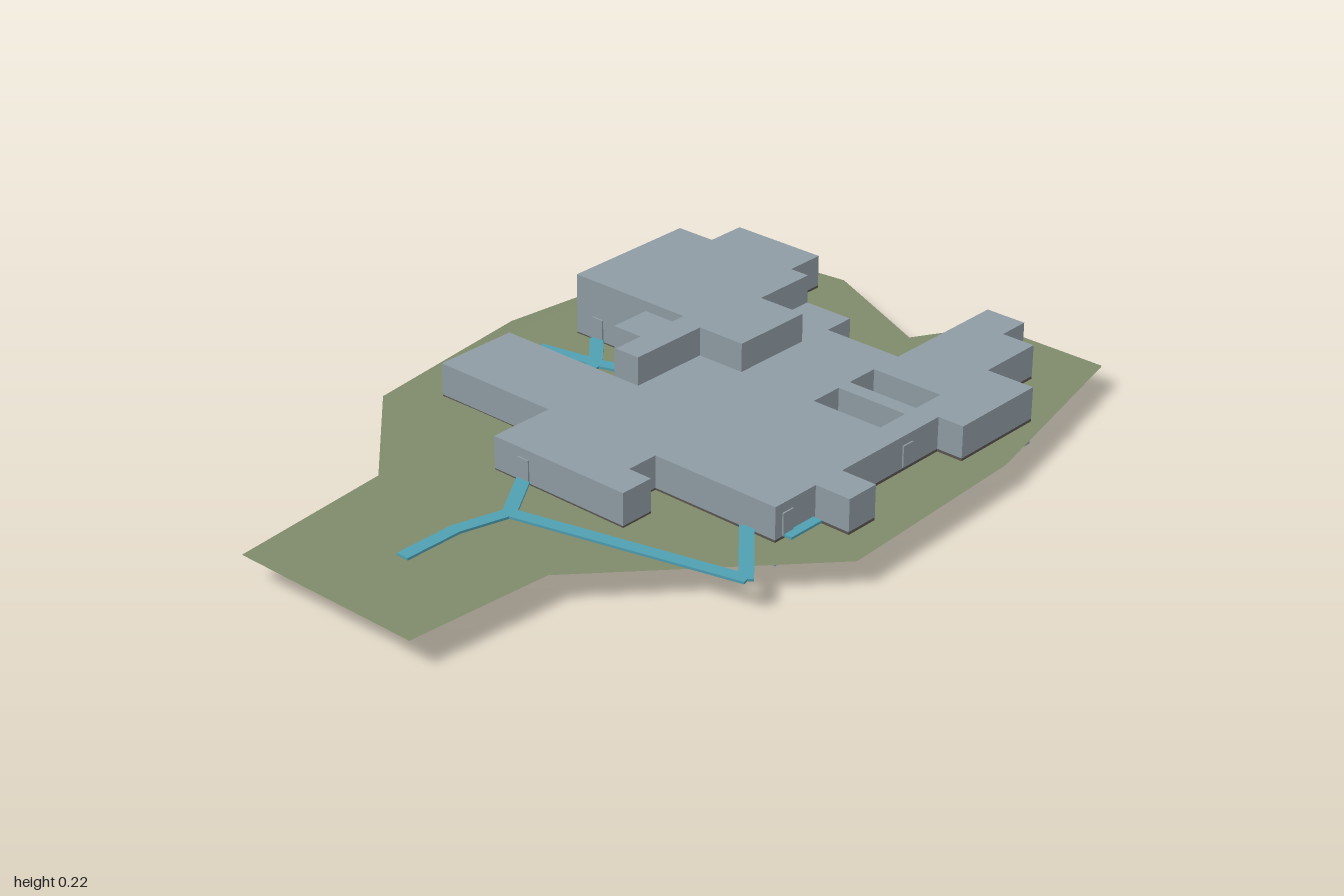
import * as THREE from 'three';

export function createModel() {
  const model = new THREE.Group();
  const mat = (name, color, side = THREE.FrontSide) => {
    const m = new THREE.MeshStandardMaterial({ color, side });
    m.name = name;
    return m;
  };
  const wall = mat('greyWall', 0x8f9ba3);
  const plinth = mat('darkPlinth', 0x59544e);
  const grass = mat('grass', 0x7f8a6a, THREE.DoubleSide);
  const path = mat('bluePath', 0x4fa0b2);

  const toShape = (pts) => new THREE.Shape(pts.map(([x, z]) => new THREE.Vector2(x, z)));
  const rect = (x0, x1, z0, z1) => [[x0, z0], [x1, z0], [x1, z1], [x0, z1]];
  const add = (name, geo, material) => {
    const mesh = new THREE.Mesh(geo, material);
    mesh.name = name;
    model.add(mesh);
    return mesh;
  };
  // Prism standing on a plan outline given as [x, z] points
  const prism = (name, pts, y0, y1, material, holes = []) => {
    const shape = toShape(pts);
    holes.forEach((h) => shape.holes.push(toShape(h)));
    const geo = new THREE.ExtrudeGeometry(shape, { depth: y1 - y0, bevelEnabled: false });
    geo.rotateX(Math.PI / 2).translate(0, y1, 0);
    return add(name, geo, material);
  };

  // Thin ground sheet, rising slightly to the front and left
  const groundPts = [
    [-0.62, -0.915], [-0.245, -0.96], [0.085, -0.81], [0.195, -1], [0.525, -1],
    [0.655, -0.44], [0.68, 0.125], [0.24, 0.62], [0.215, 1], [-0.305, 1],
    [-0.35, 0.56], [-0.635, 0.28], [-0.685, -0.2],
  ];
  const ground = new THREE.ShapeGeometry(toShape(groundPts)).rotateX(-Math.PI / 2).scale(1, 1, -1);
  // the mirrored sheet needs its corners reversed to face upwards
  const order = ground.index.array;
  for (let i = 0; i < order.length; i += 3) [order[i], order[i + 2]] = [order[i + 2], order[i]];
  const gp = ground.attributes.position;
  for (let i = 0; i < gp.count; i++) {
    const x = gp.getX(i), z = gp.getZ(i);
    gp.setY(i, z > 0.5 ? 0.064 : x < -0.66 ? 0.07 : x < -0.6 ? 0.06 : 0.058);
  }
  ground.computeVertexNormals();
  add('ground', ground, grass);

  // Main storey with two courtyards, on a dark plinth
  const mainPlan = [
    [-0.53, -0.65], [0.025, -0.65], [0.025, -0.565], [0.24, -0.565], [0.24, -0.915],
    [0.35, -0.915], [0.35, -0.83], [0.44, -0.83], [0.44, -0.65], [0.57, -0.65],
    [0.57, -0.385], [0.5, -0.385], [0.5, -0.04], [0.595, -0.04], [0.595, 0.05],
    [0.5, 0.05], [0.5, 0.185], [0.15, 0.185], [0.15, 0.27], [0.215, 0.27],
    [0.215, 0.36], [-0.18, 0.36], [-0.18, 0.185], [-0.53, 0.185], [-0.53, -0.04],
    [-0.18, -0.04], [-0.18, -0.125], [-0.265, -0.125], [-0.265, -0.235],
    [-0.18, -0.235], [-0.18, -0.275], [-0.53, -0.275],
  ];
  const courts = [rect(0.24, 0.435, -0.475, -0.385), rect(0.24, 0.435, -0.345, -0.255)];
  prism('mainStorey', mainPlan, 0.065, 0.147, wall, courts);
  prism('mainPlinth', mainPlan, 0.052, 0.065, [wall, plinth], courts);
  prism('courtyardFloor', courts[1], 0.06, 0.066, wall);

  // Separate annex at the back
  const annexPlan = rect(-0.53, -0.265, -0.88, -0.695);
  prism('annex', annexPlan, 0.065, 0.147, wall);
  prism('annexPlinth', annexPlan, 0.052, 0.065, [wall, plinth]);

  // Upper storey
  prism('upperStorey', [
    [-0.53, -0.65], [-0.11, -0.65], [-0.11, -0.475], [0.02, -0.475], [0.02, -0.255],
    [-0.11, -0.255], [-0.11, -0.04], [-0.18, -0.04], [-0.18, -0.125], [-0.265, -0.125],
    [-0.265, -0.235], [-0.18, -0.235], [-0.18, -0.275], [-0.53, -0.275],
  ], 0.147, 0.22, wall);

  // Basement
  prism('basement', [
    [0.02, -0.565], [0.24, -0.565], [0.24, -0.65], [0.57, -0.65], [0.57, -0.385],
    [0.5, -0.385], [0.5, 0.185], [0.02, 0.185],
  ], 0, 0.052, wall);

  // Doors: thin plates on the walls [x, z, size in x, size in z]
  [
    [-0.088, 0.362, 0.034, 0.004],
    [0.502, 0.145, 0.004, 0.034],
    [0.502, -0.272, 0.004, 0.034],
    [-0.46, -0.273, 0.034, 0.004],
  ].forEach(([x, z, w, d]) => {
    add('door', new THREE.BoxGeometry(w, 0.055, d), wall).position.set(x, 0.096, z);
  });

  // Footpaths: flat strips along each route
  const routes = [
    [[-0.09, 0.36], [-0.005, 0.49], [-0.04, 0.62], [-0.04, 0.775]],
    [[-0.005, 0.49], [0.565, 0.355], [0.42, 0.185]],
    [[-0.46, -0.27], [-0.37, -0.17], [-0.352, -0.04]],
    [[-0.53, -0.145], [-0.37, -0.175], [-0.18, -0.235]],
    [[-0.395, -0.69], [-0.35, -0.65]],
    [[0.508, 0.06], [0.508, 0.155]],
    [[0.245, -0.445], [0.28, -0.472]],
  ];
  const width = 0.034;
  routes.forEach((route) => {
    for (let i = 1; i < route.length; i++) {
      const [x0, z0] = route[i - 1], [x1, z1] = route[i];
      const dx = x1 - x0, dz = z1 - z0;
      const strip = add('footpath', new THREE.BoxGeometry(Math.hypot(dx, dz) + 0.008, 0.006, width), path);
      strip.position.set((x0 + x1) / 2, 0.068, (z0 + z1) / 2);
      strip.rotation.y = -Math.atan2(dz, dx);
    }
  });

  return model;
}
